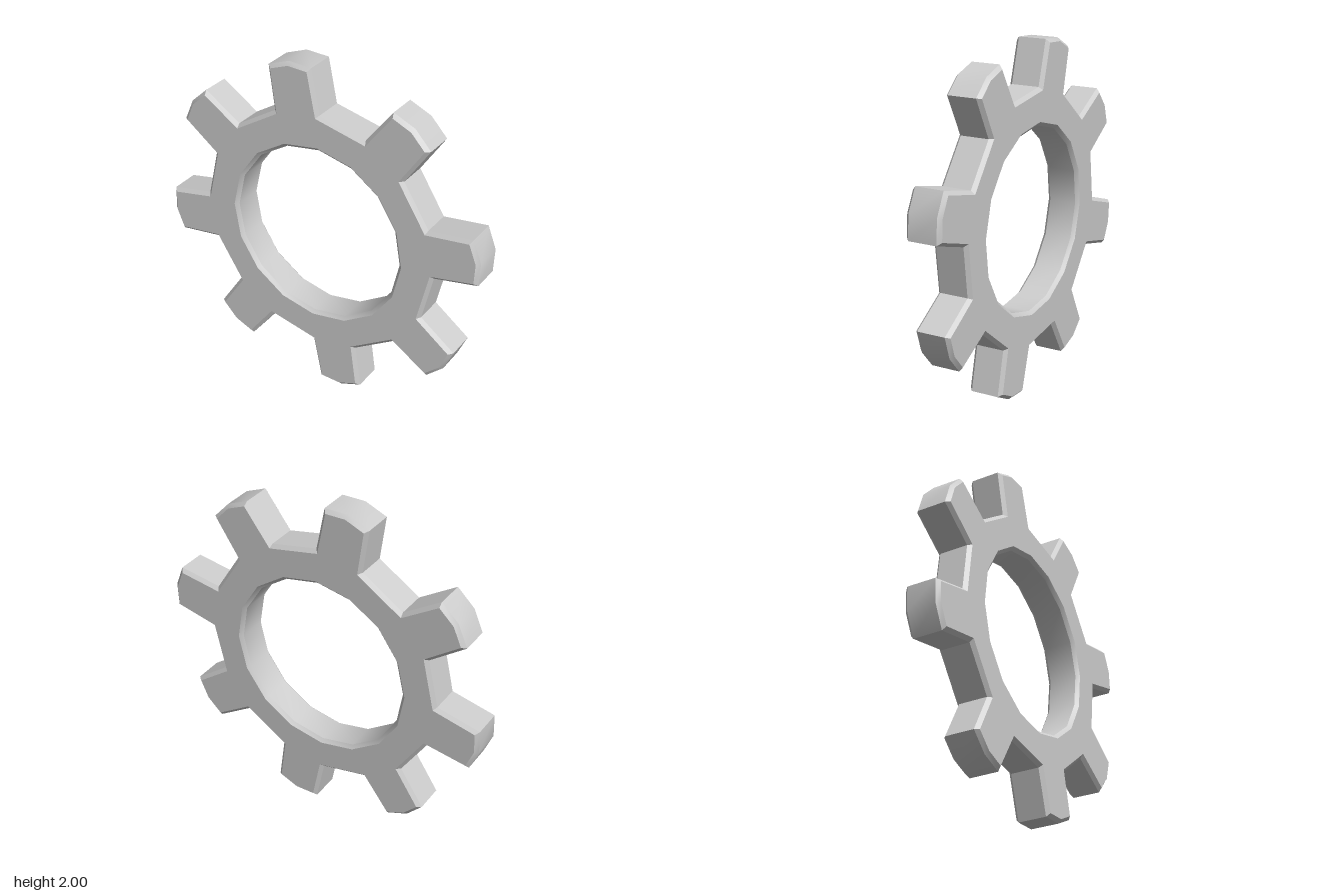
import * as THREE from 'three';
import { toCreasedNormals } from 'three/addons/utils/BufferGeometryUtils.js';

const polar = (r, deg) => {
  const a = THREE.MathUtils.degToRad(deg);
  return new THREE.Vector2(r * Math.cos(a), r * Math.sin(a));
};

export function createModel() {
  const group = new THREE.Group();
  const teeth = 8, rootR = 0.74, holeR = 0.53;
  const thickness = 0.205, bevel = 0.02;

  // Outline: each tooth has two root corners and a three-point tip
  const outline = [];
  for (let i = 0; i < teeth; i++) {
    const a = i * 45;
    outline.push(
      polar(rootR, a),
      polar(0.997, a + 3.4),
      polar(1.016, a + 11.25),
      polar(0.997, a + 19.1),
      polar(rootR, a + 22.5)
    );
  }
  const shape = new THREE.Shape(outline);

  // Sixteen-sided centre hole
  const hole = [];
  for (let i = 0; i < 16; i++) hole.push(polar(holeR, -i * 22.5));
  shape.holes.push(new THREE.Path(hole));

  const geometry = new THREE.ExtrudeGeometry(shape, {
    depth: thickness - 2 * bevel,
    bevelEnabled: true,
    bevelThickness: bevel,
    bevelSize: bevel,
    bevelOffset: -bevel,
    bevelSegments: 1
  });
  geometry.translate(0, 0, -thickness / 2 + bevel);

  const gear = new THREE.Mesh(
    toCreasedNormals(geometry, 0.5),
    new THREE.MeshStandardMaterial({ color: 0xcccccc })
  );
  gear.name = 'gearRing';
  // Leans back slightly
  gear.rotation.x = -0.045;
  gear.position.y = 1;
  group.add(gear);
  return group;
}
